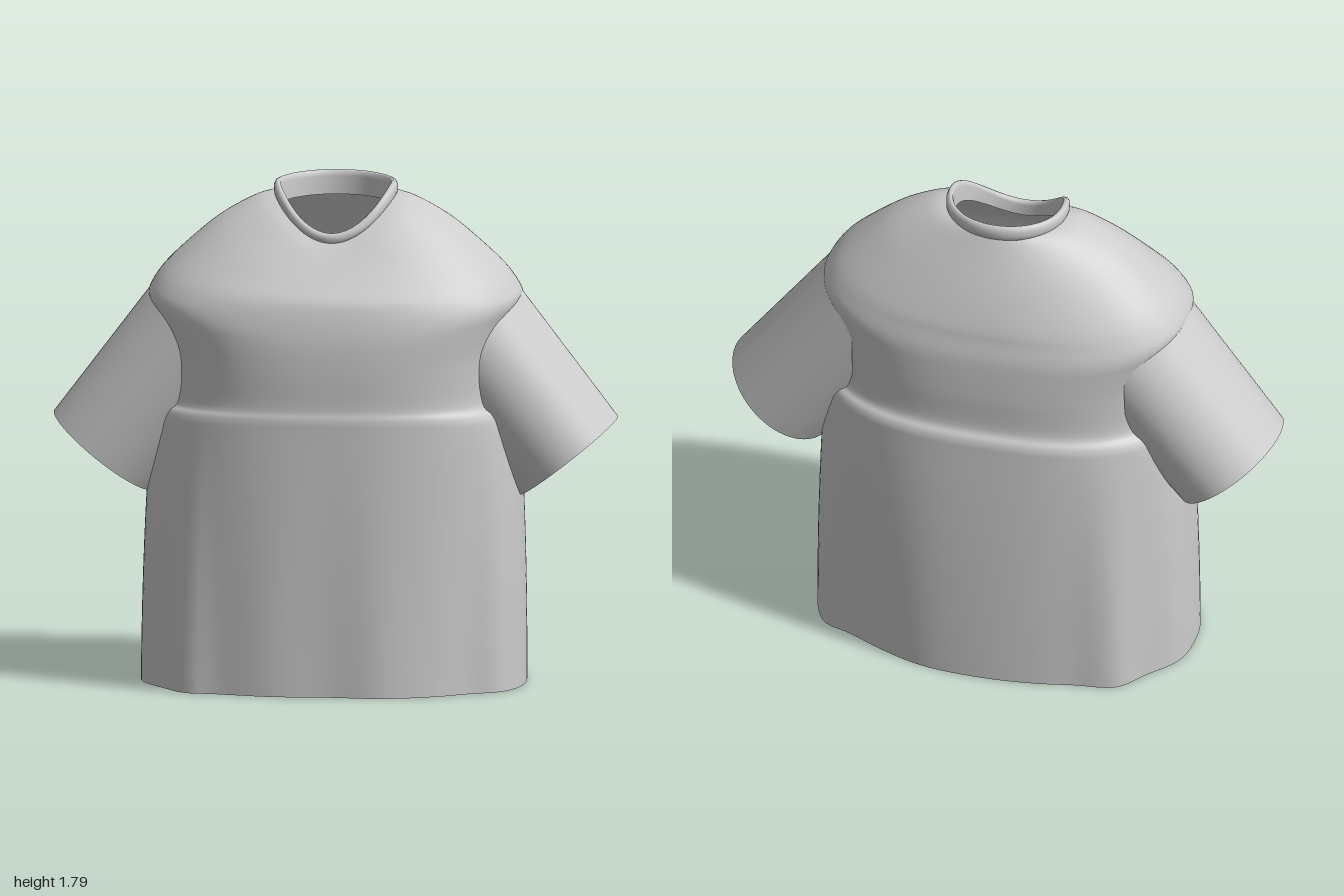
import * as THREE from 'three';

const COLS = 128;

// Smooth closed surface from rows and columns: point(row, col) -> [x, y, z]
function loft(rows, point) {
  const pos = [], idx = [];
  for (let i = 0; i < rows; i++) {
    for (let j = 0; j < COLS; j++) {
      pos.push(...point(i, j));
      if (i === rows - 1) continue;
      const k = (j + 1) % COLS;
      const a = i * COLS + j, b = i * COLS + k, c = a + COLS, d = b + COLS;
      idx.push(a, b, c, b, d, c);
    }
  }
  const g = new THREE.BufferGeometry();
  g.setAttribute('position', new THREE.Float32BufferAttribute(pos, 3));
  g.setIndex(idx);
  g.computeVertexNormals();
  return g;
}

const spline = (pts) => new THREE.SplineCurve(pts.map(([x, y]) => new THREE.Vector2(x, y)));

// Body profiles (half width, height), neck to hem
const side = spline([[0.2, 1.745], [0.28, 1.73], [0.4, 1.665], [0.5, 1.585], [0.6, 1.49], [0.65, 1.42],
  [0.66, 1.38], [0.635, 1.32], [0.605, 1.2], [0.6, 1.03], [0.635, 0.985], [0.65, 0.9], [0.665, 0.5], [0.68, 0]]);
const front = spline([[0.21, 1.6], [0.25, 1.56], [0.3, 1.505], [0.345, 1.455], [0.38, 1.415], [0.397, 1.38],
  [0.412, 1.32], [0.422, 1.25], [0.425, 1.15], [0.422, 1.03], [0.43, 0.985], [0.43, 0.9], [0.432, 0.5], [0.43, 0]]);
const back = spline([[0.19, 1.75], [0.21, 1.71], [0.265, 1.6], [0.305, 1.51], [0.335, 1.43], [0.345, 1.385],
  [0.36, 1.32], [0.366, 1.25], [0.37, 1.15], [0.37, 1.03], [0.395, 0.985], [0.4, 0.9], [0.415, 0.5], [0.43, 0]]);

// Wavy outline of the hem (x, z)
const hem = new THREE.CatmullRomCurve3([
  [0.675, 0], [0.66, 0.14], [0.6, 0.25], [0.5, 0.3], [0.38, 0.375], [0.2, 0.432], [0, 0.42], [-0.2, 0.42],
  [-0.4, 0.375], [-0.51, 0.355], [-0.58, 0.27], [-0.67, 0.13], [-0.69, 0], [-0.67, -0.14], [-0.58, -0.26],
  [-0.5, -0.36], [-0.35, -0.39], [-0.2, -0.42], [0, -0.435], [0.2, -0.42], [0.35, -0.37], [0.5, -0.3],
  [0.6, -0.26], [0.66, -0.14],
].map(([x, z]) => new THREE.Vector3(x, 0, z)), true);
const hemPoints = hem.getSpacedPoints(COLS);

// Point on the body: t runs 0 (neck) to 1 (hem)
function bodyPoint(t, j) {
  const h = hemPoints[j];
  const phi = Math.atan2(h.z, h.x), c = Math.cos(phi), s = Math.sin(phi);
  const p = side.getPoint(t), q = (s > 0 ? front : back).getPoint(t);
  const n = 2 + 0.5 * Math.min(1, t * 2);
  const r = Math.pow(Math.pow(Math.abs(c) / p.x, n) + Math.pow(Math.abs(s) / q.x, n), -1 / n);
  const w = Math.pow(Math.abs(r * s) / q.x, 2);
  const y = p.y + (q.y - p.y) * w;
  const fold = THREE.MathUtils.clamp((0.98 - y) / 0.98, 0, 1);
  return [THREE.MathUtils.lerp(r * c, h.x, fold), y, THREE.MathUtils.lerp(r * s, h.z, fold)];
}

// Sleeve tube slanting outward; its inner end is cut upright inside the body
function sleeveGeometry(sign) {
  const angle = 0.669, length = 0.62;
  const dx = Math.sin(angle), dy = -Math.cos(angle);
  const g = new THREE.CylinderGeometry(0.235, 0.222, length, 64, 1, true);
  g.scale(1, 1, 1.1);
  g.rotateZ(sign * angle);
  g.translate(sign * (0.825 - dx * length / 2), 0.81 - dy * length / 2, 0);
  const p = g.attributes.position;
  for (let i = 0; i < p.count; i++) {
    const short = 0.5 - sign * p.getX(i);
    if (short > 0) p.setXY(i, sign * 0.5, p.getY(i) + short * dy / dx);
  }
  return g;
}

export function createModel() {
  const group = new THREE.Group();
  const fabric = new THREE.MeshStandardMaterial({ color: 0xcccccc, side: THREE.DoubleSide });
  fabric.name = 'light grey fabric';
  const add = (name, geometry) => {
    const mesh = new THREE.Mesh(geometry, fabric);
    mesh.name = name;
    group.add(mesh);
  };

  // Torso
  const ROWS = 66;
  add('body', loft(ROWS, (i, j) => bodyPoint(i / (ROWS - 1), j)));

  // Turned-in hem: bottom edge and inner facing
  const facing = [[1, 0], [0.98, 0], [0.98, 0.002], [0.98, 0.18]];
  add('hemFacing', loft(facing.length, (i, j) => {
    const [k, y] = facing[i];
    return [hemPoints[j].x * k, y, hemPoints[j].z * k];
  }));

  // Collar band following the dipped neckline (outward offset, rise)
  const band = [[-0.008, -0.045], [-0.008, 0.02], [-0.004, 0.036], [0.004, 0.042], [0.013, 0.038],
    [0.019, 0.025], [0.019, 0.005], [0.014, -0.012], [0.002, -0.022]];
  add('collar', loft(band.length, (i, j) => {
    const a = j / COLS * Math.PI * 2, c = Math.cos(a), s = Math.sin(a);
    const [out, rise] = band[i];
    const y = 1.745 + (s > 0 ? -0.145 : 0.005) * s * s;
    const rz = s > 0 ? 0.203 : 0.188;
    return [(0.2 + out) * c, y + rise * (s > 0 ? 1 - 0.35 * s * s : 1), (rz + out) * s];
  }));

  // Sleeves
  add('leftSleeve', sleeveGeometry(1));
  add('rightSleeve', sleeveGeometry(-1));
  return group;
}
